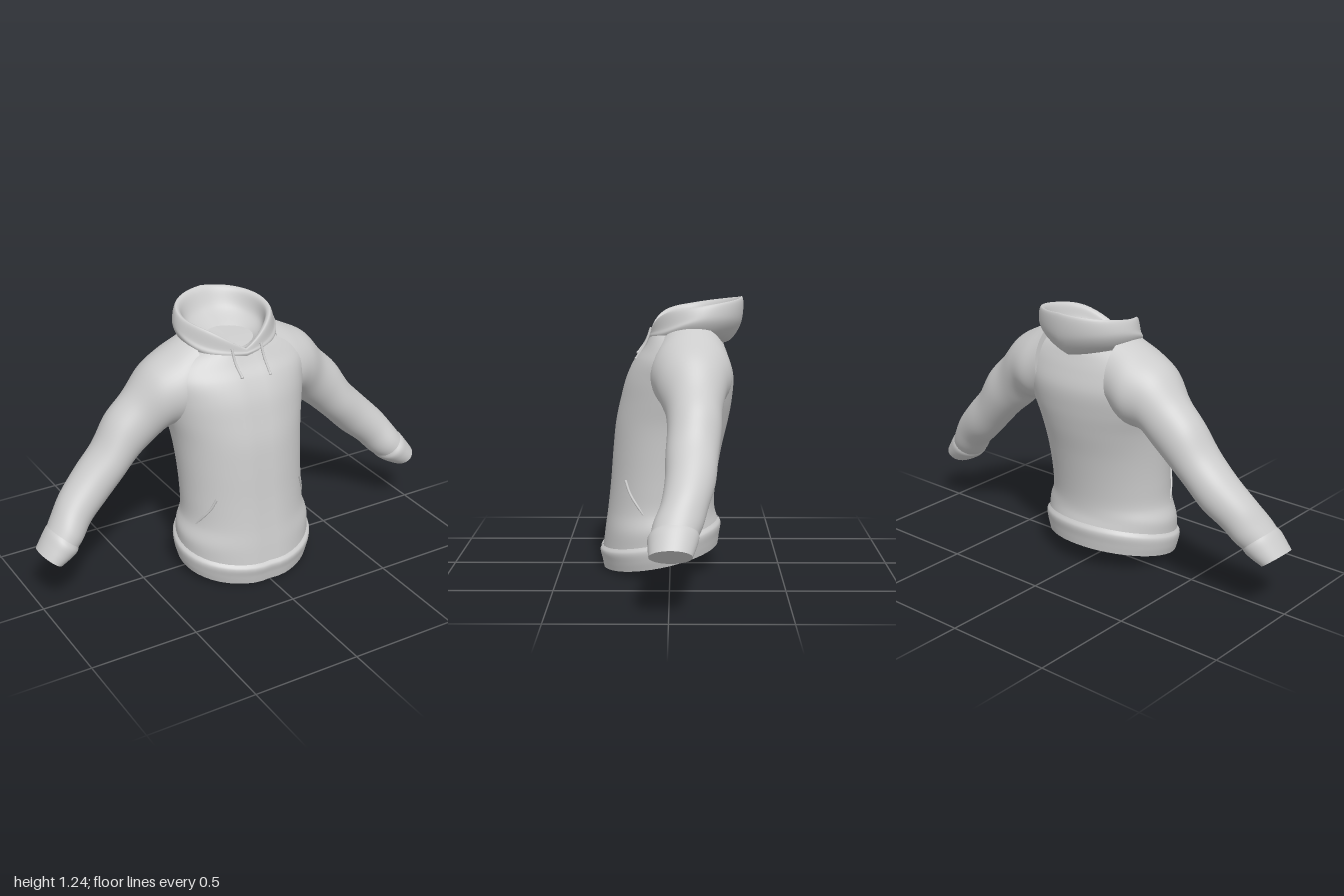
import * as THREE from 'three';

const V = (x, y, z) => new THREE.Vector3(x, y, z);
const SIDES = 48;
const angles = Array.from({ length: SIDES }, (_, i) => (i / SIDES) * Math.PI * 2);

// Smooth skin through closed cross-sections, with optional flat end caps
function loft(sections, rows, capStart, capEnd) {
  const columns = angles.map((_, j) => new THREE.CatmullRomCurve3(sections.map((s) => s[j])));
  const pos = [];
  const index = [];
  const rings = [];
  for (let i = 0; i <= rows; i++) {
    rings.push(columns.map((c) => c.getPoint(i / rows)));
    rings[i].forEach((p) => pos.push(p.x, p.y, p.z));
  }
  for (let i = 0; i < rows; i++) {
    for (let j = 0; j < SIDES; j++) {
      const k = (j + 1) % SIDES;
      const a = i * SIDES + j, b = i * SIDES + k;
      const c = a + SIDES, d = b + SIDES;
      index.push(a, b, d, a, d, c);
    }
  }
  const cap = (ring, flip) => {
    const base = pos.length / 3;
    const mid = ring.reduce((m, p) => m.add(p), V(0, 0, 0)).divideScalar(SIDES);
    ring.forEach((p) => pos.push(p.x, p.y, p.z));
    pos.push(mid.x, mid.y, mid.z);
    for (let j = 0; j < SIDES; j++) {
      const a = base + j, b = base + ((j + 1) % SIDES);
      index.push(base + SIDES, ...(flip ? [b, a] : [a, b]));
    }
  };
  if (capStart) cap(rings[0], true);
  if (capEnd) cap(rings[rows], false);

  // Turn the faces outward if the enclosed volume comes out negative
  let volume = 0;
  const at = (i) => V(pos[i * 3], pos[i * 3 + 1] - 0.6, pos[i * 3 + 2]);
  for (let i = 0; i < index.length; i += 3) {
    volume += at(index[i]).dot(at(index[i + 1]).cross(at(index[i + 2])));
  }
  if (volume < 0) index.reverse();

  const geometry = new THREE.BufferGeometry();
  geometry.setAttribute('position', new THREE.Float32BufferAttribute(pos, 3));
  geometry.setIndex(index);
  geometry.computeVertexNormals();
  return geometry;
}

// Body section: front y, back y, front z, back z, half width, back squareness
function bodyRing([yF, yB, zF, zB, w, square = 1]) {
  return angles.map((a) => {
    const x = w * Math.cos(a);
    const s = Math.sin(a);
    const f = s < 0 ? -Math.pow(-s, square) : s;
    const crease = s > 0 ? 0.009 * Math.exp(-((x / 0.04) ** 2)) : 0;
    return V(x, (yF + yB) / 2 + ((yF - yB) / 2) * s, (zF + zB) / 2 + ((zF - zB) / 2) * f - crease);
  });
}

// Sleeve section: upper x and y, lower x and y, front z, back z
function sleeveRing([xU, yU, xL, yL, zF, zB], side) {
  return angles.map((a) => {
    const c = Math.cos(a) / 2, s = Math.sin(a) / 2;
    return V(
      side * ((xU + xL) / 2 + (xU - xL) * c),
      (yU + yL) / 2 + (yU - yL) * c,
      (zF + zB) / 2 + (zF - zB) * s
    );
  });
}

// Hood section: half width, front z, back z, heights from front to back
function hoodRing([w, zF, zB, heights]) {
  const line = new THREE.CatmullRomCurve3(heights.map((y, i) => V(i, y, 0)));
  return angles.map((a) => {
    const t = (1 - Math.cos(a)) / 2;
    const back = Math.min(a, Math.PI * 2 - a) / Math.PI;
    return V(w * Math.sin(a), line.getPoint(back).y, zF + (zB - zF) * t);
  });
}

const HEM = [
  [0, 0.105, 0.31, -0.22, 0.318],
  [0.04, 0.15, 0.318, -0.226, 0.33],
  [0.082, 0.2, 0.326, -0.232, 0.335],
  [0.1, 0.222, 0.312, -0.218, 0.322],
];
const TORSO = [
  [0.095, 0.215, 0.312, -0.219, 0.322],
  [0.18, 0.26, 0.302, -0.205, 0.322],
  [0.27, 0.31, 0.29, -0.202, 0.298],
  [0.4, 0.4, 0.276, -0.21, 0.294],
  [0.55, 0.55, 0.264, -0.235, 0.299, 0.95],
  [0.68, 0.68, 0.25, -0.265, 0.31, 0.85],
  [0.78, 0.78, 0.228, -0.282, 0.33, 0.75],
  [0.88, 0.88, 0.2, -0.287, 0.35, 0.7],
  [0.96, 0.96, 0.16, -0.265, 0.362, 0.75],
  [1.01, 1.01, 0.122, -0.245, 0.34, 0.8],
  [1.05, 1.05, 0.098, -0.225, 0.28, 0.9],
  [1.075, 1.075, 0.085, -0.2, 0.215],
];
const SLEEVE = [
  [0.2, 1.12, 0.2, 0.76, 0.07, -0.26],
  [0.3, 1.07, 0.27, 0.73, 0.085, -0.272],
  [0.405, 1.01, 0.335, 0.72, 0.06, -0.248],
  [0.5, 0.9, 0.4, 0.662, 0.02, -0.226],
  [0.59, 0.81, 0.475, 0.6, 0.01, -0.22],
  [0.665, 0.695, 0.56, 0.52, 0.016, -0.205],
  [0.755, 0.6, 0.65, 0.43, 0.018, -0.192],
  [0.855, 0.495, 0.735, 0.36, 0.036, -0.16],
  [0.905, 0.425, 0.79, 0.3, 0.065, -0.138],
  [0.94, 0.375, 0.825, 0.272, 0.074, -0.116],
];
const CUFF = [
  [0.928, 0.39, 0.813, 0.285, 0.07, -0.12],
  [0.945, 0.372, 0.825, 0.266, 0.084, -0.122],
  [0.97, 0.338, 0.86, 0.242, 0.084, -0.112],
  [1.0, 0.295, 0.905, 0.22, 0.08, -0.096],
];
const HOOD = [
  [0.19, 0.08, -0.21, [1.02, 1.03, 1.04, 1.04, 1.02]],
  [0.236, 0.096, -0.27, [1.055, 1.075, 1.115, 1.085, 1.038]],
  [0.236, 0.092, -0.322, [1.062, 1.1, 1.15, 1.145, 1.12]],
  [0.215, 0.085, -0.325, [1.075, 1.165, 1.198, 1.22, 1.235]],
  [0.198, 0.068, -0.308, [1.068, 1.158, 1.19, 1.212, 1.227]],
  [0.172, 0.05, -0.26, [1.058, 1.1, 1.12, 1.135, 1.145]],
  [0.12, 0.02, -0.18, [1.055, 1.065, 1.075, 1.08, 1.085]],
];

export function createModel() {
  const model = new THREE.Group();
  model.name = 'hoodedSweatshirt';
  const fabric = new THREE.MeshStandardMaterial({ color: 0xcccccc });
  fabric.name = 'light grey fabric';

  const add = (name, geometry) => {
    const mesh = new THREE.Mesh(geometry, fabric);
    mesh.name = name;
    model.add(mesh);
  };
  const cord = (points, radius) =>
    new THREE.TubeGeometry(new THREE.CatmullRomCurve3(points), 16, radius, 8);

  // Body and waistband
  add('torso', loft(TORSO.map(bodyRing), 66, false, false));
  add('hem', loft(HEM.map(bodyRing), 15, true, false));

  // Hood collar with its rolled rim and inner bowl
  add('hood', loft(HOOD.map(hoodRing), 48, true, true));

  for (const [label, side] of [['left', 1], ['right', -1]]) {
    // Sleeve and closed cuff
    add(label + 'Sleeve', loft(SLEEVE.map((s) => sleeveRing(s, side)), 54, true, false));
    add(label + 'Cuff', loft(CUFF.map((s) => sleeveRing(s, side)), 15, false, true));

    // Pocket opening lying on the side of the belly
    const slit = [[0.22, 0.43], [0.24, 0.375], [0.262, 0.33], [0.286, 0.265]].map(([x, y]) =>
      V(side * x, y, 0.035 + 0.242 * Math.sqrt(1 - (x / 0.297) ** 2)));
    add(label + 'PocketEdge', cord(slit, 0.006));
  }

  // Drawstrings with knotted ends
  const strings = {
    left: [V(0.072, 1.09, 0.088), V(0.076, 1.03, 0.11), V(0.083, 0.962, 0.152)],
    right: [V(-0.075, 1.09, 0.088), V(-0.07, 1.03, 0.11), V(-0.059, 0.975, 0.148)],
  };
  for (const [label, points] of Object.entries(strings)) {
    add(label + 'Drawstring', cord(points, 0.006));
    const knot = new THREE.SphereGeometry(0.0075, 12, 8);
    knot.translate(...points[2].toArray());
    add(label + 'DrawstringEnd', knot);
  }
  return model;
}
